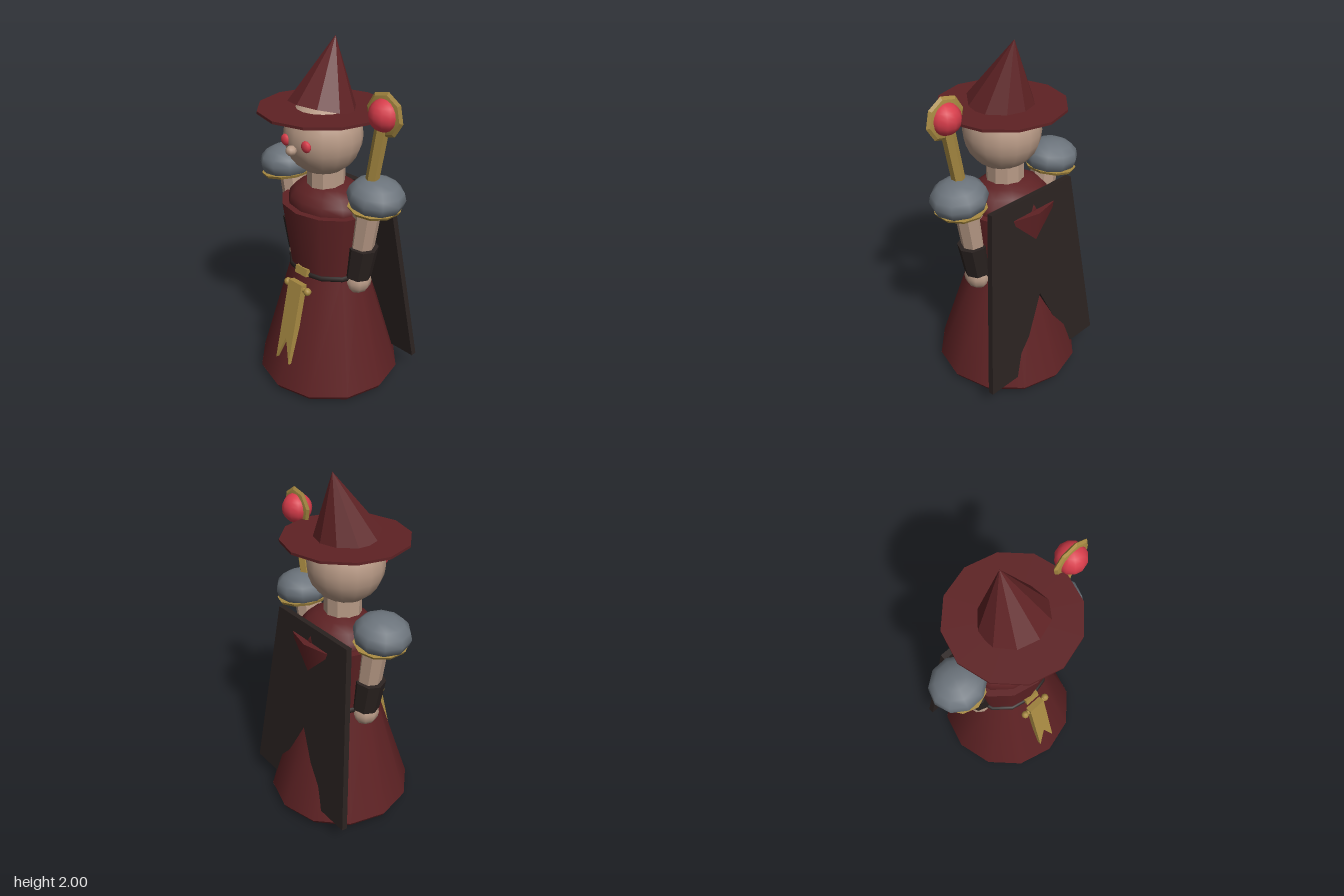
import * as THREE from 'three';
import { toCreasedNormals } from 'three/addons/utils/BufferGeometryUtils.js';

const mat = (name, color) => {
  const m = new THREE.MeshStandardMaterial({ color });
  m.name = name;
  return m;
};

export function createModel() {
  const red = mat('robe red', 0x5e2224);
  const skin = mat('skin', 0xb89a86);
  const grey = mat('steel grey', 0x6c747c);
  const gold = mat('gold', 0xa88a42);
  const gem = mat('gem red', 0xd63c4a);
  const black = mat('dark leather', 0x2a2220);

  const model = new THREE.Group();
  model.name = 'wizard';
  const body = new THREE.Group();
  body.name = 'body';
  body.position.x = -0.008;
  model.add(body);

  const add = (name, geo, material, x = 0, y = 0, z = 0, parent = body) => {
    const mesh = new THREE.Mesh(geo, material);
    mesh.name = name;
    mesh.position.set(x, y, z);
    parent.add(mesh);
    return mesh;
  };
  const flat = (geo) => toCreasedNormals(geo, 0.3);
  const ellipsoid = (rx, ry, rz, w = 12, h = 8) => new THREE.SphereGeometry(1, w, h).scale(rx, ry, rz);
  // Tapered rod between two points
  const rod = (name, a, b, rBottom, rTop, sides, material, parent = body) => {
    const from = new THREE.Vector3(...a), to = new THREE.Vector3(...b);
    const dir = to.clone().sub(from);
    const mesh = add(name, flat(new THREE.CylinderGeometry(rTop, rBottom, dir.length(), sides)), material, 0, 0, 0, parent);
    mesh.position.copy(from).add(to).multiplyScalar(0.5);
    mesh.quaternion.setFromUnitVectors(new THREE.Vector3(0, 1, 0), dir.normalize());
    return mesh;
  };

  // Skirt: round hem narrowing to an oval waist
  const skirtGeo = new THREE.CylinderGeometry(0.235, 0.42, 0.68, 12);
  const p = skirtGeo.attributes.position;
  for (let i = 0; i < p.count; i++) if (p.getY(i) > 0) p.setZ(i, p.getZ(i) * 0.83);
  add('skirt', skirtGeo, red, 0, 0.385, 0);
  add('hem', new THREE.CylinderGeometry(0.42, 0.405, 0.025, 12), red, 0, 0.033, 0);

  // Torso and rounded shoulders
  add('torso', new THREE.CylinderGeometry(0.29, 0.235, 0.39, 12).scale(1, 1, 0.85), red, 0, 0.905, 0);
  add('shoulders', ellipsoid(0.25, 0.14, 0.21, 12, 10), red, 0, 1.1, 0);

  // Belt and buckle
  const belt = new THREE.TorusGeometry(0.238, 0.016, 6, 12).rotateX(Math.PI / 2).rotateY(Math.PI / 2).scale(1, 1, 0.85);
  add('belt', belt, black, 0, 0.718, 0);
  const buckle = add('buckle', new THREE.BoxGeometry(0.09, 0.045, 0.03), gold, 0, 0.732, 0.205);
  buckle.rotation.x = -0.25;

  // Forked sash hanging down the front
  const sash = new THREE.Group();
  sash.name = 'sash';
  sash.position.set(0, 0.67, 0.225);
  sash.rotation.x = -0.235;
  body.add(sash);
  const sashShape = new THREE.Shape([[-0.053, 0], [-0.053, -0.495], [0, -0.345], [0.053, -0.495], [0.053, 0]]
    .map(([x, y]) => new THREE.Vector2(x, y)));
  add('sashCloth', new THREE.ExtrudeGeometry(sashShape, { depth: 0.04, bevelEnabled: false }), gold, 0, 0, 0, sash);
  rod('sashBar', [-0.08, -0.03, 0.015], [0.08, -0.03, 0.015], 0.015, 0.015, 8, gold, sash);
  for (const s of [-1, 1]) add('sashKnob', ellipsoid(0.023, 0.023, 0.023, 8, 6), gold, s * 0.08, -0.03, 0.015, sash);

  // Cape: slanted slab with a wide notch at the bottom
  const capeShape = new THREE.Shape([[-0.3, 0], [-0.425, -1.085], [-0.215, -1.085], [0, -0.62],
    [0.215, -1.085], [0.425, -1.085], [0.3, 0]].map(([x, y]) => new THREE.Vector2(x, y)));
  const cape = add('cape', new THREE.ExtrudeGeometry(capeShape, { depth: 0.034, bevelEnabled: false }), black, 0, 1.19, -0.195);
  cape.rotation.x = 0.115;

  // Neck, head and face
  add('neck', flat(new THREE.CylinderGeometry(0.105, 0.105, 0.16, 10)), skin, 0, 1.27, 0.02);
  add('head', new THREE.SphereGeometry(0.212, 16, 12), skin, 0, 1.495, 0.04);
  add('nose', ellipsoid(0.03, 0.028, 0.03, 8, 6), skin, 0, 1.464, 0.268);
  for (const s of [-1, 1]) add('eye', ellipsoid(0.032, 0.031, 0.018, 10, 8), gem, s * 0.077, 1.496, 0.236);

  // Hat: flat brim and a cone leaning back
  add('hatBrim', flat(new THREE.CylinderGeometry(0.347, 0.347, 0.014, 12)), red, 0, 1.642, 0.04);
  const cone = add('hatCone', flat(new THREE.ConeGeometry(0.188, 0.363, 10).translate(0, 0.1815, 0)), red, 0, 1.648, 0.042);
  cone.rotation.x = -0.25;

  // Arms, shoulder plates and feet on both sides
  for (const s of [-1, 1]) {
    const arm = new THREE.Group();
    arm.name = s > 0 ? 'leftArm' : 'rightArm';
    body.add(arm);
    rod('upperArm', [s * 0.252, 0.9, 0], [s * 0.3, 1.2, 0], 0.07, 0.077, 8, skin, arm);
    rod('bracer', [s * 0.227, 0.725, 0], [s * 0.262, 0.92, 0], 0.08, 0.088, 8, black, arm);
    add('hand', ellipsoid(0.08, 0.083, 0.08, 10, 8), skin, s * 0.227, 0.69, 0, arm);

    const plate = new THREE.Group();
    plate.name = 'shoulderPlate';
    plate.position.set(s * 0.347, 1.237, 0);
    plate.rotation.z = -s * 0.1;
    arm.add(plate);
    add('plateDome', ellipsoid(0.158, 0.104, 0.153, 10, 8), grey, 0, 0, 0, plate);
    add('plateTrim', flat(new THREE.CylinderGeometry(0.14, 0.132, 0.016, 10).scale(1, 1, 1.1)), gold, 0, -0.06, 0, plate);

    add('foot', new THREE.BoxGeometry(0.125, 0.04, 0.235), black, s * 0.137, 0.02, 0.058);
  }

  // Staff with a round gem set in a lens-shaped plate
  const staff = new THREE.Group();
  staff.name = 'staff';
  body.add(staff);
  rod('staffRod', [0.252, 0.91, 0.015], [0.39, 1.64, 0.018], 0.035, 0.037, 6, gold, staff);
  const lens = add('staffPlate', flat(ellipsoid(0.119, 0.022, 0.119, 8, 6).rotateX(Math.PI / 2)), gold, 0.4, 1.69, 0.017, staff);
  lens.rotation.z = -0.18;
  add('staffGem', new THREE.SphereGeometry(0.084, 12, 10), gem, 0.401, 1.69, 0.017, staff);

  return model;
}
